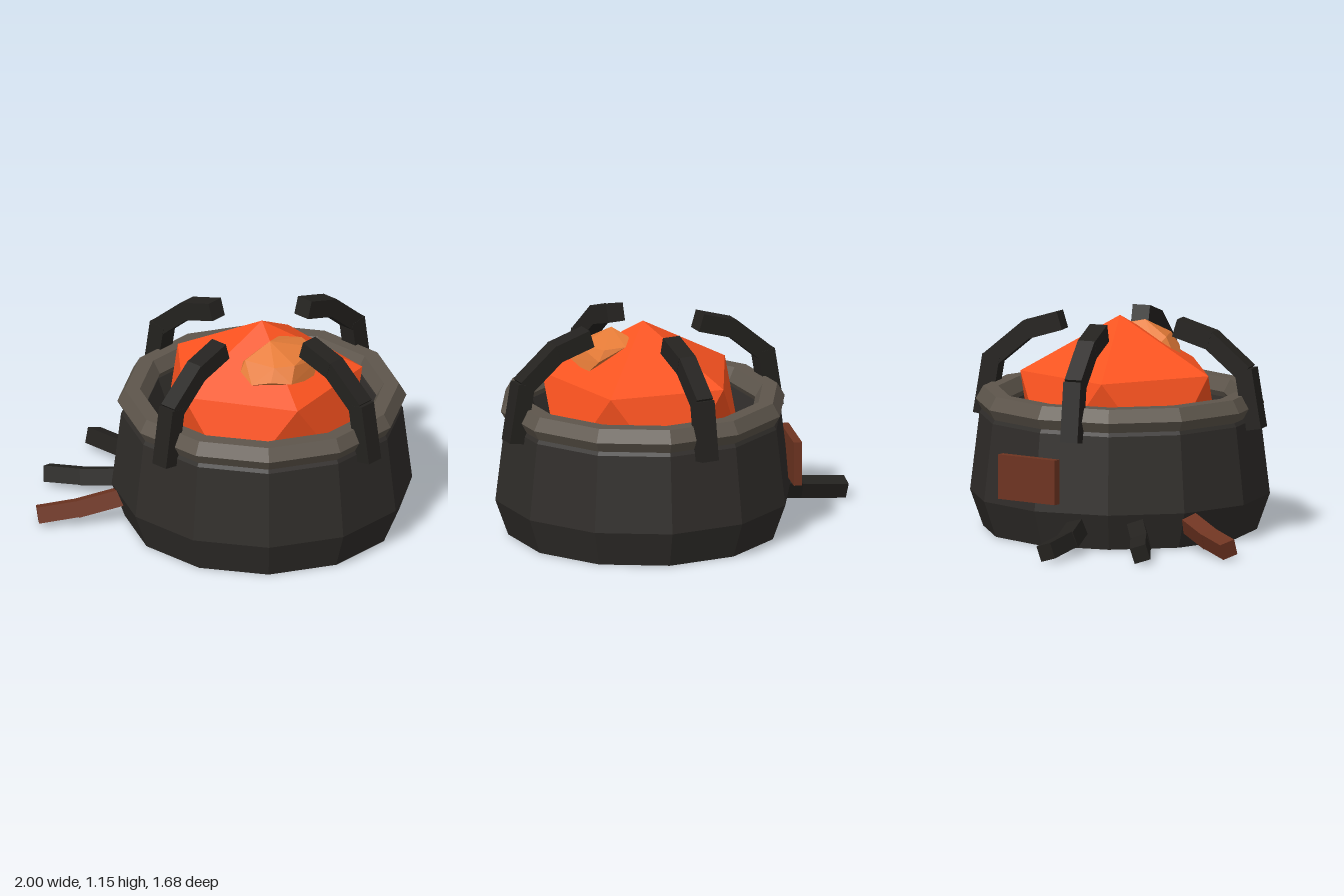
import * as THREE from 'three';
import { ConvexGeometry } from 'three/addons/geometries/ConvexGeometry.js';

const mat = (color, side = THREE.FrontSide) =>
  new THREE.MeshStandardMaterial({ color, flatShading: true, side });
const v = (p) => new THREE.Vector3(...p);

// Chain of square bars following a list of points
function bentBar(name, points, width, roll, material) {
  const group = new THREE.Group();
  group.name = name;
  for (let i = 0; i < points.length - 1; i++) {
    const a = v(points[i]), b = v(points[i + 1]);
    const overlap = i < points.length - 2 ? 0.02 : 0;
    const length = a.distanceTo(b) + overlap;
    const w = width - 0.003 * (i % 2);
    const geometry = new THREE.BoxGeometry(w, w, length);
    geometry.rotateZ(roll);
    geometry.translate(0, 0, length / 2);
    const bar = new THREE.Mesh(geometry, material);
    bar.name = name + 'Segment';
    bar.position.copy(a);
    bar.lookAt(b);
    group.add(bar);
  }
  return group;
}

export function createModel() {
  const model = new THREE.Group();
  model.name = 'firePot';
  const iron = mat(0x302d2a), black = mat(0x24221f), rimGrey = mat(0x5e564c);
  const wood = mat(0x6e3421), ember = mat(0xff5420), amber = mat(0xe67c38);

  const pot = new THREE.Group();
  pot.name = 'pot';
  pot.position.set(0.2, 0, 0.035);
  model.add(pot);
  const add = (parent, name, geometry, material) => {
    const mesh = new THREE.Mesh(geometry, material);
    mesh.name = name;
    parent.add(mesh);
    return mesh;
  };

  // Twelve-sided bowl, outside and inside
  const profile = [[0, 0.005], [0.73, 0.005], [0.8, 0.2], [0.75, 0.615], [0.735, 0.64],
    [0.65, 0.66], [0.62, 0.66], [0.53, 0.42], [0, 0.42]];
  add(pot, 'bowl', new THREE.LatheGeometry(profile.map((p) => new THREE.Vector2(...p)), 12), iron);

  // Hexagonal-section rim
  const rim = new THREE.TorusGeometry(0.69, 0.08, 6, 12).rotateX(Math.PI / 2);
  add(pot, 'rim', rim, rimGrey).position.y = 0.69;

  // Squashed twenty-sided ember: two poles and two staggered rings of five
  const points = [[0, 1.15, 0], [0, 0.115, 0]];
  for (let i = 0; i < 10; i++) {
    const a = (i * Math.PI) / 5;
    points.push([0.535 * Math.cos(a), i % 2 ? 0.405 : 0.862, 0.535 * Math.sin(a)]);
  }
  add(pot, 'ember', new ConvexGeometry(points.map(v)), ember);

  // Four curved claws gripping the rim
  for (let i = 0; i < 4; i++) {
    const claw = bentBar('claw', [[0.765, 0.58, 0], [0.715, 0.88, 0], [0.52, 1.045, 0],
      [0.325, 1.105, 0]], 0.098, 0, black);
    claw.rotation.y = Math.PI / 4 + (i * Math.PI) / 2;
    pot.add(claw);
  }

  // Faceted glowing chunk on the ember
  const chunk = [[0.08, 0.98, 0.19], [0.07, 0.96, 0.28], [0.13, 0.93, 0.36], [0.23, 0.96, 0.4],
    [0.34, 0.95, 0.4], [0.46, 0.91, 0.26], [0.5, 0.99, 0.18], [0.41, 1.06, 0.06],
    [0.29, 1.08, 0.08], [0.235, 1.11, 0.2], [0.1, 1.03, 0.26], [0.25, 1.03, 0.36],
    [0.36, 1.03, 0.34], [0.47, 1.05, 0.16], [0.3, 0.91, 0.32]];
  add(model, 'glowingChunk', new ConvexGeometry(chunk.map(v)), amber);

  // Bent sticks reaching out along the ground
  model.add(bentBar('woodenStick',
    [[-0.4, 0.18, 0.07], [-0.77, 0.09, 0.095], [-0.998, 0.06, 0.107]], 0.09, 0.3, wood));
  model.add(bentBar('charredStick',
    [[-0.25, 0.14, -0.4], [-0.5, 0.085, -0.6], [-0.66, 0.06, -0.81]], 0.09, 0.3, black));
  model.add(bentBar('charredStick',
    [[-0.4, 0.14, -0.16], [-0.72, 0.085, -0.28], [-0.925, 0.06, -0.38]], 0.09, 0.3, black));

  // Patch plate on the back of the bowl
  const plate = add(model, 'patchPlate', new THREE.BoxGeometry(0.365, 0.24, 0.045), wood);
  plate.position.set(-0.165, 0.37, -0.675);
  plate.rotation.y = Math.PI / 6;
  return model;
}
